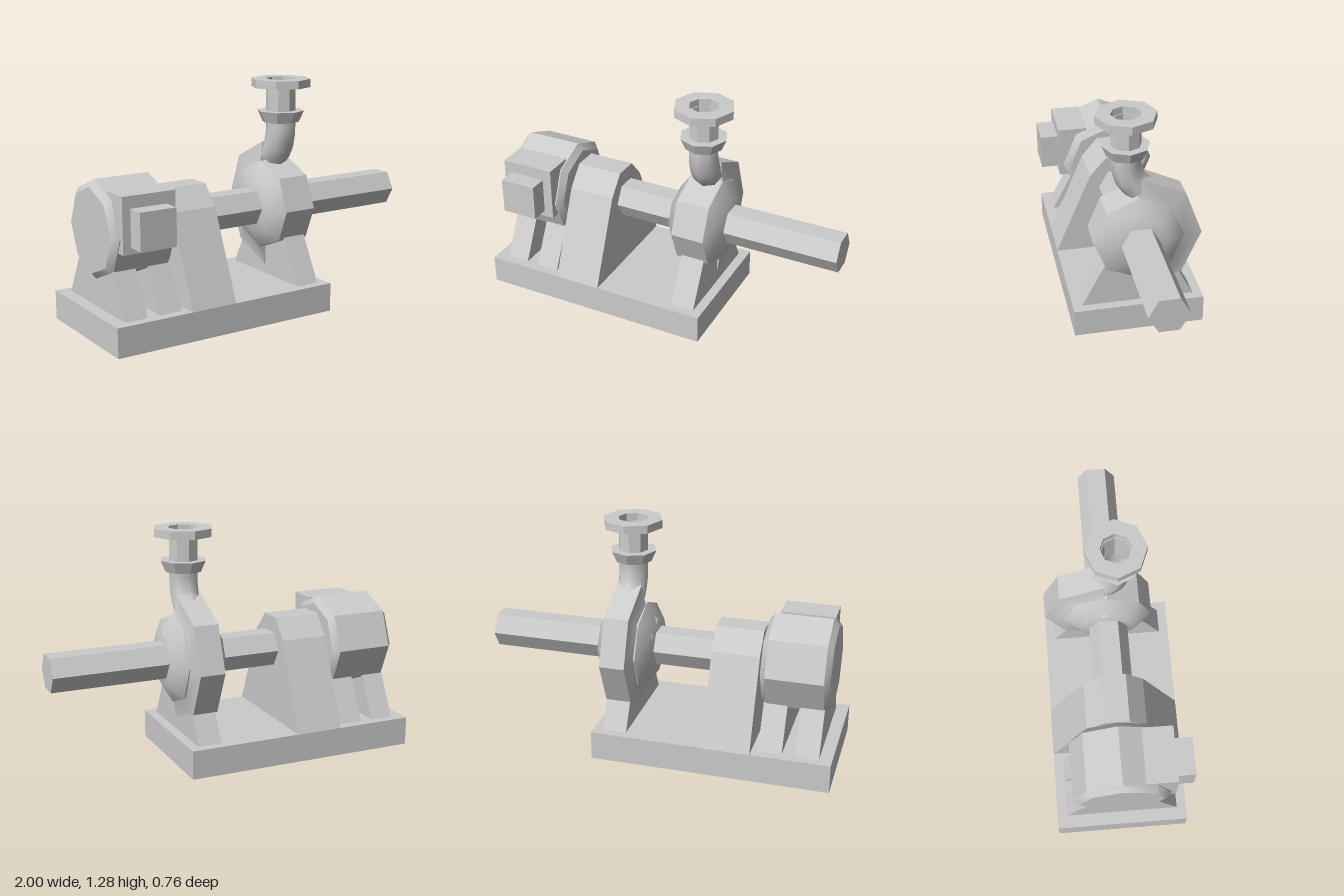
import * as THREE from 'three';
import { toCreasedNormals } from 'three/addons/utils/BufferGeometryUtils.js';

const AXIS_Y = 0.572, AXIS_Z = -0.013; // centre line of the shaft
const OUT_X = 0.205, OUT_Z = 0.04;     // centre line of the outlet

export function createModel() {
  const group = new THREE.Group();
  const solid = new THREE.MeshStandardMaterial({ color: 0xcccccc });
  const thin = new THREE.MeshStandardMaterial({ color: 0xcccccc, side: THREE.DoubleSide });

  const add = (name, geometry, x = 0, y = 0, z = 0, material = solid) => {
    const mesh = new THREE.Mesh(geometry, material);
    mesh.name = name;
    mesh.position.set(x, y, z);
    group.add(mesh);
    return mesh;
  };

  // Box given by its limits
  const box = (name, x0, x1, y0, y1, z0, z1) =>
    add(name, new THREE.BoxGeometry(x1 - x0, y1 - y0, z1 - z0), (x0 + x1) / 2, (y0 + y1) / 2, (z0 + z1) / 2);

  // Symmetric profile of [half width, height] points, extruded along x
  const support = (name, x0, x1, half) => {
    const right = half.map(([w, y]) => new THREE.Vector2(w, y));
    const left = half.map(([w, y]) => new THREE.Vector2(-w, y)).reverse();
    const geometry = new THREE.ExtrudeGeometry(new THREE.Shape([...right, ...left]), { depth: x1 - x0, bevelEnabled: false });
    add(name, geometry.rotateY(Math.PI / 2), x0, 0, AXIS_Z);
  };

  const points = (list) => list.map(([r, h]) => new THREE.Vector2(r, h));

  // Faceted turned part with smooth shallow edges and sharp steep ones
  const turned = (profile, sides, start = 0, length = Math.PI * 2) =>
    toCreasedNormals(new THREE.LatheGeometry(points(profile), sides, start, length), 0.7);

  // Base plate
  box('basePlate', -1, 0.33, 0, 0.16, -0.38, 0.355);

  // Motor with chamfered ends
  const motor = turned([[0, -0.955], [0.23, -0.955], [0.268, -0.925], [0.268, -0.61], [0.23, -0.58], [0, -0.58]], 8);
  add('motorBody', motor.rotateZ(-Math.PI / 2), 0, AXIS_Y, AXIS_Z);
  box('terminalBox', -0.92, -0.617, 0.5, 0.8, 0.11, 0.28);
  box('terminalCover', -0.875, -0.67, 0.535, 0.735, 0.27, 0.38);

  // Supports
  const foot = [[0.315, 0.16], [0.16, 0.455]];
  support('motorFoot', -0.93, -0.8, foot);
  support('motorFoot', -0.73, -0.6, foot);
  support('pumpFoot', 0.142, 0.277, foot);
  support('bearingBlock', -0.565, -0.3, [[0.368, 0.16], [0.164, 0.645], [0.068, 0.755]]);

  // Hexagonal shaft, running through the pump to the inlet end
  const shaft = new THREE.CylinderGeometry(0.108, 0.108, 1.6, 6).toNonIndexed();
  shaft.computeVertexNormals();
  add('shaft', shaft.rotateZ(-Math.PI / 2), 0.2, AXIS_Y, AXIS_Z);

  // Pump casing
  const casing = turned([[0, 0.045], [0.155, 0.045], [0.25, 0.11], [0.25, 0.297], [0.155, 0.355], [0, 0.355]], 8);
  add('pumpCasing', casing.rotateZ(-Math.PI / 2), 0, AXIS_Y, AXIS_Z);

  // Larger volute half around the back of the casing
  const volute = [[0.155, 0.046], [0.25, 0.118], [0.355, 0.136], [0.355, 0.276], [0.25, 0.29], [0.155, 0.354]];
  const from = Math.PI / 2, to = Math.PI * 1.48;
  add('volute', turned(volute, 4, from, to - from).rotateZ(-Math.PI / 2), 0, AXIS_Y, AXIS_Z, thin);
  for (const angle of [from, to]) {
    const cap = new THREE.ShapeGeometry(new THREE.Shape(points(volute)));
    cap.rotateY(angle - Math.PI / 2).rotateZ(-Math.PI / 2);
    add('voluteEnd', cap, 0, AXIS_Y, AXIS_Z, thin);
  }

  // Outlet bend
  const path = new THREE.CatmullRomCurve3([
    [0.04, 1.06], [0.039, 0.98], [0.015, 0.9], [-0.028, 0.848],
  ].map(([z, y]) => new THREE.Vector3(OUT_X, y, z)));
  add('outletBend', new THREE.TubeGeometry(path, 6, 0.083, 8), 0, 0, 0, thin);

  // Outlet collar, neck and flange as hollow rings
  const ring = (name, inner, bottom, top, y0, y1) =>
    add(name, turned([[inner, y0], [bottom, y0], [top, y1], [inner, y1], [inner, y0]], 8), OUT_X, 0, OUT_Z, thin);
  ring('outletCollar', 0.08, 0.103, 0.131, 1.045, 1.108);
  ring('outletNeck', 0.078, 0.083, 0.083, 1.1, 1.245);
  ring('outletFlange', 0.083, 0.166, 0.166, 1.24, 1.285);

  return group;
}
